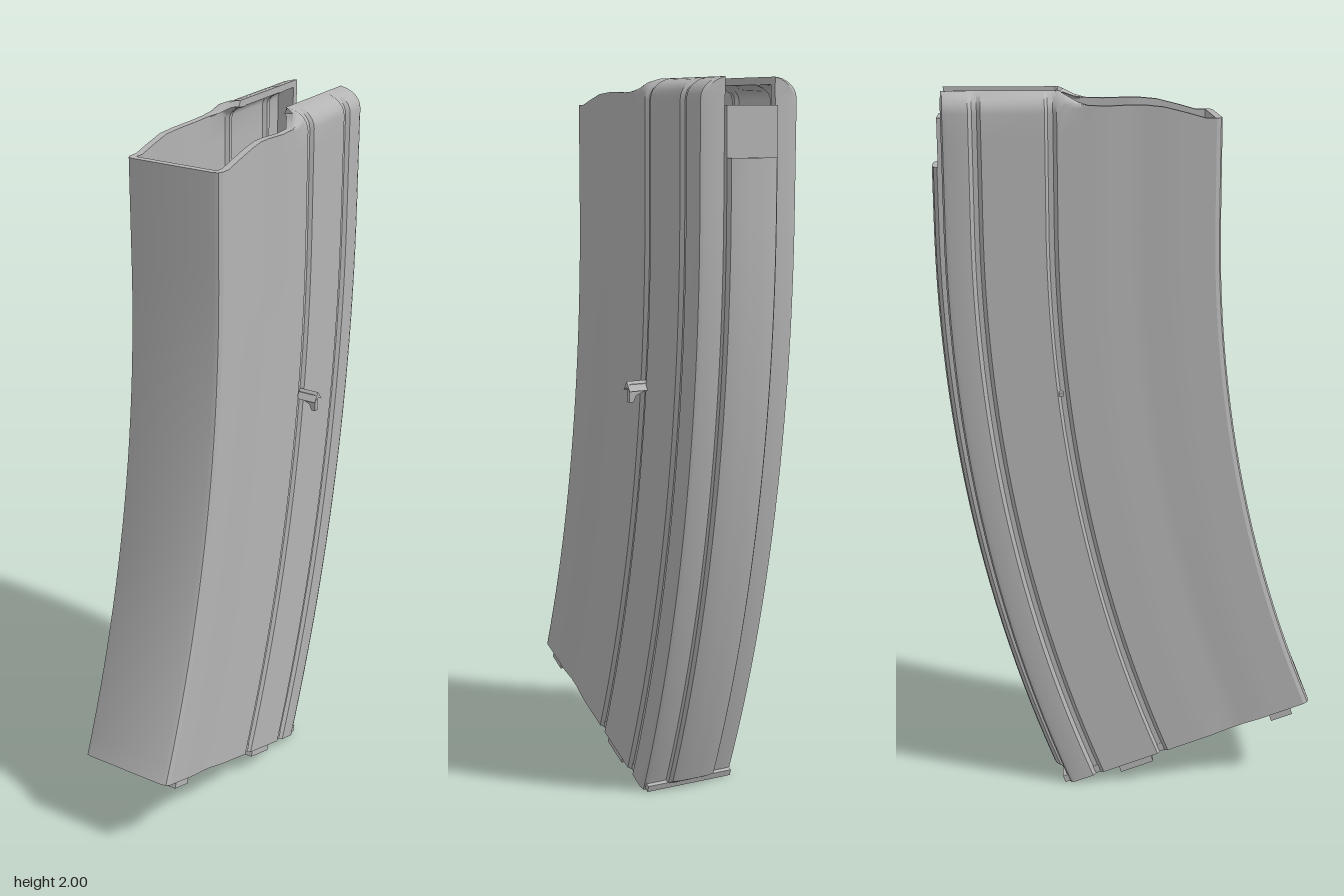
import * as THREE from 'three';
import { toCreasedNormals } from 'three/addons/utils/BufferGeometryUtils.js';

const MID = -0.0215;                       // body centre line in x
const ARC_Z = 3.9, ARC_Y = 1.65;           // centre of the body's curve

// z of a line that sits at z = s at the top and follows the curve below ARC_Y
const curveZ = (s, y) => y >= ARC_Y ? s : ARC_Z - Math.sqrt((ARC_Z - s) ** 2 - (ARC_Y - y) ** 2);

// height where that line meets the sloping base
function baseY(s) {
  if (s < -0.5) return 0.03;
  let y = 0.1;
  for (let k = 0; k < 8; k++) y = 0.245 - (0.53 - curveZ(s, y)) * 0.344;
  return Math.max(0, y);
}

// piecewise-linear lookup, keys descending
function lookup(table, s) {
  if (s >= table[0][0]) return table[0][1];
  for (let i = 1; i < table.length; i++) {
    const [a, va] = table[i - 1], [b, vb] = table[i];
    if (s >= b) return va + (vb - va) * (a - s) / (a - b);
  }
  return table[table.length - 1][1];
}

// skin over rings; each ring is an outer run followed by the matching inner run reversed
function loft(rings) {
  const n = rings[0].length, pos = [], idx = [];
  rings.forEach(r => r.forEach(p => pos.push(...p)));
  const quad = (a, b, c, d) => idx.push(a, b, c, a, c, d);
  for (let j = 0; j < rings.length - 1; j++)
    for (let i = 0; i < n; i++) {
      const k = (i + 1) % n;
      quad(j * n + i, j * n + k, (j + 1) * n + k, (j + 1) * n + i);
    }
  const t = (rings.length - 1) * n;
  for (let i = 0; i < n / 2 - 1; i++) {
    quad(t + i, t + i + 1, t + n - 2 - i, t + n - 1 - i);
    quad(n - 1 - i, n - 2 - i, i + 1, i);
  }
  const g = new THREE.BufferGeometry();
  g.setAttribute('position', new THREE.Float32BufferAttribute(pos, 3));
  g.setIndex(idx);
  return toCreasedNormals(g, 0.45);
}

// open-backed wall with pressed grooves and feed lips curling inward
function shellGeometry() {
  const half = [[0.073, -0.497], [0.128, -0.497], [0.139, -0.492], [0.143, -0.48],
    [0.143, -0.425], [0.134, -0.415], [0.134, -0.402], [0.143, -0.392],
    [0.143, -0.225], [0.134, -0.217], [0.134, -0.203], [0.143, -0.193],
    [0.143, -0.185], [0.143, -0.17], [0.143, -0.14], [0.143, -0.11], [0.143, -0.06],
    [0.138, 0.0], [0.138, 0.04], [0.143, 0.09], [0.143, 0.15], [0.143, 0.2],
    [0.143, 0.228], [0.137, 0.24], [0.125, 0.245]];
  const outer = [...half.map(([x, s]) => [-x, s]), ...half.slice().reverse()];
  const inner = outer.map(([x, s]) => [
    Math.abs(x) > 0.1 ? x - Math.sign(x) * 0.02 : x, THREE.MathUtils.clamp(s, -0.477, 0.225)]);
  const top = [[0.2, 1.932], [0.1, 1.96], [0.03, 1.967], [-0.1, 1.963], [-0.135, 1.973], [-0.185, 2.0]];
  const curl = [[-0.11, 0], [-0.17, 0.5], [-0.19, 1]];
  const point = ([x, s], inside, body, a) => {
    const w = lookup(curl, s), end = lookup(top, s);
    const h = 0.055 * (0.1 + 0.9 * w), y0 = baseY(s);
    const drop = inside ? 0.018 * w * Math.sin(a) : 0;
    const y = y0 + (end - h - y0) * body + h * Math.sin(a) - drop;
    const ax = Math.max(0.072, Math.abs(x) - 0.071 * w * (1 - Math.cos(a)));
    return [MID + Math.sign(x) * ax, y, curveZ(s, y)];
  };
  const ring = (body, a) => [
    ...outer.map(p => point(p, false, body, a)),
    ...inner.map(p => point(p, true, body, a)).reverse()];
  const rings = [];
  for (let j = 0; j <= 28; j++) rings.push(ring(j / 28, 0));
  for (let k = 1; k <= 7; k++) rings.push(ring(1, k / 7 * Math.PI / 2));
  return loft(rings);
}

// curved bar along the back; outer run given from +x to the middle
function backBar(half, innerS, top) {
  const outer = [...half, ...half.slice().reverse().map(([x, s]) => [-x, s])];
  const section = [...outer, ...outer.map(([x]) => [x, innerS]).reverse()];
  const rings = [];
  for (let j = 0; j <= 28; j++)
    rings.push(section.map(([x, s]) => {
      const y0 = baseY(s), y = y0 + (top - y0) * j / 28;
      return [MID + x, y, curveZ(s, y)];
    }));
  return loft(rings);
}

export function createModel() {
  const model = new THREE.Group();
  const metal = new THREE.MeshStandardMaterial({ color: 0xb4b4b4 });
  metal.name = 'grey metal';
  const add = (name, geometry, parent = model) => {
    const m = new THREE.Mesh(geometry, metal);
    m.name = name;
    parent.add(m);
    return m;
  };

  add('bodyShell', shellGeometry());
  add('backWall', backBar([[0.0735, -0.49], [0.0735, -0.51]], -0.48, 1.93));
  add('spine', backBar([[0.0735, -0.495], [0.0735, -0.512], [0.066, -0.522], [0.045, -0.527], [0.015, -0.528]], -0.49, 1.8));

  // sloping base with four tabs beneath
  const base = new THREE.Group();
  base.name = 'base';
  base.position.set(MID, 0.1225, 0.165);
  base.rotation.x = -Math.atan(0.344);
  model.add(base);
  add('floorPlate', new THREE.BoxGeometry(0.27, 0.02, 0.75), base).position.set(0, 0.012, 0);
  for (const side of [-1, 1])
    for (const [z, length] of [[0.29, 0.065], [-0.16, 0.1]]) {
      const tab = add('baseTab', new THREE.BoxGeometry(0.038, 0.026, length), base);
      tab.position.set(side * 0.119, -0.011, z);
    }

  // small catch on the left side: flared web under an arrow-shaped cap
  const web = new THREE.Shape([[0.115, 1.19], [0.115, 1.172], [0.15, 1.158], [0.158, 1.14], [0.17, 1.14], [0.17, 1.19]]
    .map(p => new THREE.Vector2(...p)));
  add('catchWeb', new THREE.ExtrudeGeometry(web, { depth: 0.014, bevelEnabled: false })).position.z = -0.195;
  const cap = new THREE.Shape([[-0.02, 1.172], [0, 1.198], [0.02, 1.172], [0, 1.18]]
    .map(p => new THREE.Vector2(...p)));
  const capMesh = add('catchCap', new THREE.ExtrudeGeometry(cap, { depth: 0.06, bevelEnabled: false }));
  capMesh.rotation.y = Math.PI / 2;
  capMesh.position.set(0.115, 0, -0.188);

  // tiny pin on the other side
  add('sidePin', new THREE.BoxGeometry(0.02, 0.01, 0.012)).position.set(-0.165, 1.19, -0.19);
  return model;
}
